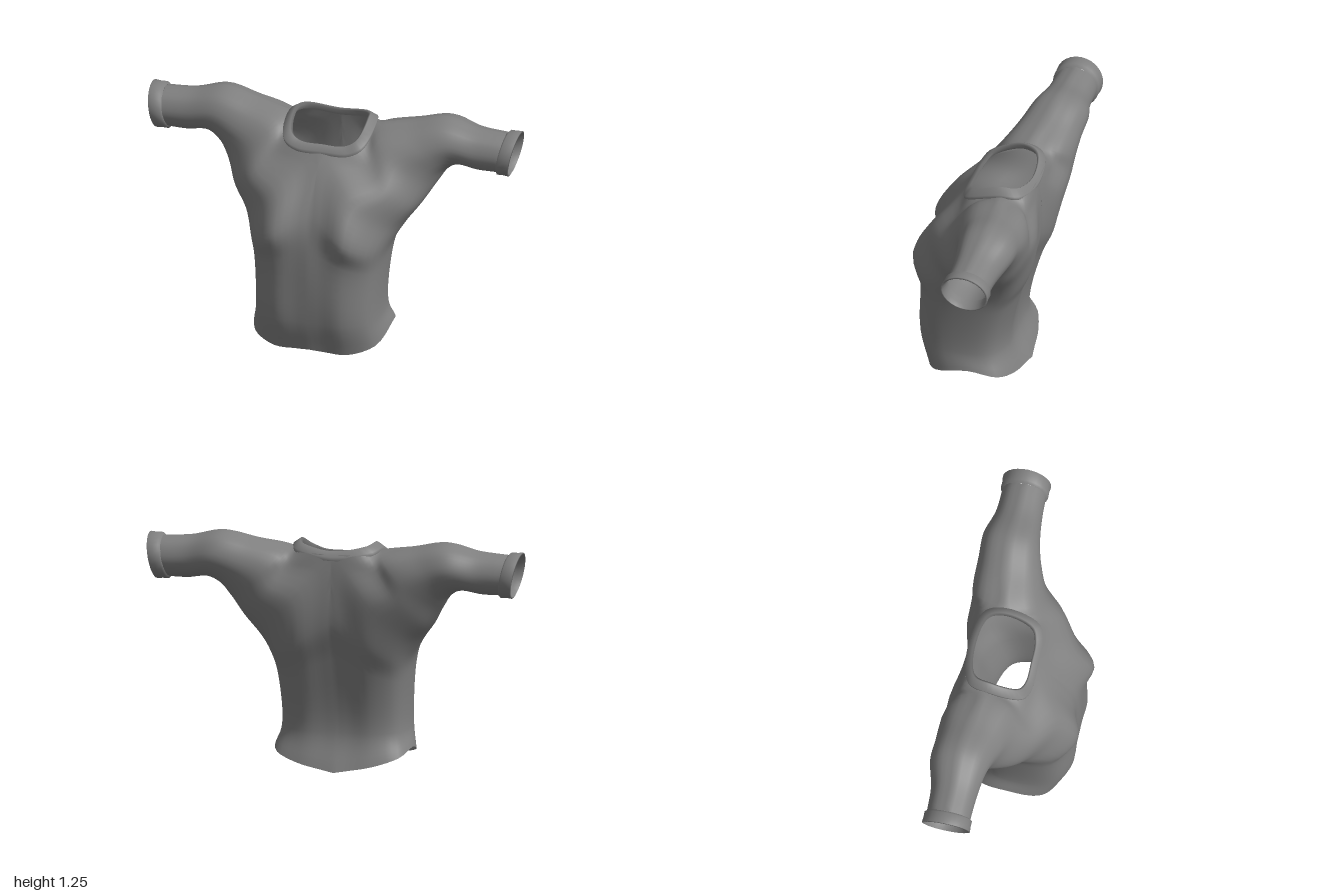
import * as THREE from 'three';
import { mergeVertices } from 'three/addons/utils/BufferGeometryUtils.js';

const V = (x, y, z) => new THREE.Vector3(x, y, z);
const smooth = (points, closed = false) => new THREE.CatmullRomCurve3(points, closed, 'centripetal');
const mirrorRows = rows => rows.map(r => r.map(p => V(-p.x, p.y, p.z)));

// Sheet of quads through a grid of points, optionally closed along each row
function sheet(rows, closed = false, flip = false) {
  const n = rows[0].length, index = [];
  for (let i = 0; i < rows.length - 1; i++) {
    for (let j = 0; j < (closed ? n : n - 1); j++) {
      const k = (j + 1) % n;
      const a = i * n + j, b = a + n, c = i * n + k, d = c + n;
      if (flip) index.push(a, c, b, c, d, b);
      else index.push(a, b, c, c, b, d);
    }
  }
  return { points: rows.flat(), index };
}

// Join sheets into one smooth geometry
function join(sheets) {
  const pos = [], index = [];
  for (const s of sheets) {
    const base = pos.length / 3;
    s.points.forEach(p => pos.push(p.x, p.y, p.z));
    s.index.forEach(i => index.push(i + base));
  }
  let g = new THREE.BufferGeometry();
  g.setAttribute('position', new THREE.Float32BufferAttribute(pos, 3));
  g.setIndex(index);
  g = mergeVertices(g, 1e-4);
  g.computeVertexNormals();
  return g;
}

// Sleeve rib: a rounded loop from the underarm seam to the shoulder line
function sleeveRib(sx, sy, nx, ny, z, r) {
  const s = V(sx, sy, z), n = V(nx, ny, z);
  const half = side => [.15, .5, .85].map((t, i) => {
    const p = s.clone().lerp(n, t);
    p.z += side * r * [.71, 1, .71][i];
    return p;
  });
  return smooth([n, ...half(1).reverse(), s, ...half(-1), n.clone()]);
}

// Torso rib: from the front end round the side seam to the back end,
// with a bulge and a sag on each half
function torsoRib(seam, front, back, [bulgeF, bulgeB], [sagF, sagB] = [0, 0]) {
  const s = V(...seam), f = V(...front), b = V(...back);
  const half = (end, bulge, sag) => [.1, .45, .8].map((t, i) => {
    const p = s.clone().lerp(end, t);
    p.y -= sag * [.9, 1, .4][i];
    p.z = THREE.MathUtils.lerp(s.z, end.z, [.7, 1, 1][i]) + bulge * [.6, 1, .35][i];
    return p;
  });
  return smooth([f, ...half(f, bulgeF, sagF).reverse(), s, ...half(b, bulgeB, sagB), b]);
}

// Ribs fan from the sleeve end, round the underarm, down to the hem
const NECK_SIDE = 4, NECK_FRONT = 6;
function bodyRows() {
  const SEG = 6, COLS = 32;
  const ribs = [
    sleeveRib(.9, .985, .925, 1.2, -.178, .115),
    sleeveRib(.79, .985, .77, 1.213, -.178, .122),
    sleeveRib(.68, 1, .6, 1.25, -.185, .15),
    sleeveRib(.62, .97, .42, 1.215, -.167, .167),
    sleeveRib(.57, .9, .235, 1.18, -.14, .195),
    torsoRib([.5, .79, -.08], [.19, 1.1, .04], [.17, 1.165, -.25], [.11, -.08]),
    torsoRib([.42, .68, -.04], [0, 1.085, .09], [0, 1.145, -.27], [.165, -.055]),
    torsoRib([.365, .58, 0], [0, .81, .265], [0, .81, -.285], [.085, 0]),
    torsoRib([.345, .47, .03], [0, .61, .315], [0, .6, -.225], [0, 0]),
    torsoRib([.335, .2, .04], [0, .2, .315], [0, .2, -.16], [0, 0]),
    torsoRib([.362, .11, 0], [0, .03, .285], [0, 0, -.235], [-.02, .03], [.055, .025]),
  ].map(c => Array.from({ length: COLS + 1 }, (_, j) => c.getPoint(j / COLS)));

  // Smooth curves across the ribs
  const cols = ribs[0].map((_, j) => smooth(ribs.map(r => r[j])));
  const n = (ribs.length - 1) * SEG, rows = [];
  for (let i = 0; i <= n; i++) {
    const row = cols.map(c => c.getPoint(i / n));
    const first = row[0], last = row[COLS];
    // Close the shoulder seam and the centre line
    if (i <= NECK_SIDE * SEG) {
      first.lerp(last, .5);
      last.copy(first);
    }
    if (i >= NECK_FRONT * SEG) first.x = last.x = 0;
    rows.push(row);
  }
  return rows;
}

// Sleeve band with a turned-in lining, slanted outward at the top
function cuffRows() {
  const rings = [[.905, .106], [.915, .119], [.945, .118], [.974, .121], [.977, .112], [.945, .105], [.905, .103]];
  return rings.map(([cx, r]) => Array.from({ length: 28 }, (_, j) => {
    const a = j / 28 * Math.PI * 2, y = Math.cos(a) * r;
    return V(cx + .2 * y, 1.092 + y, -.178 + Math.sin(a) * r * 1.06);
  }));
}

// Neck band: one loop round the opening, repeated with a scale and a rise
function collarRows() {
  const left = [
    V(0, 1.077, .095), V(.14, 1.08, .09), V(.21, 1.11, .055),
    V(.235, 1.175, -.12), V(.2, 1.165, -.23), V(0, 1.138, -.275),
  ];
  const right = mirrorRows([left.slice(1, -1).reverse()])[0];
  const loop = smooth([...left, ...right], true);
  const steps = [[1, -.005], [1.01, .015], [.85, .042], [.8, .032], [.87, 0]];
  return steps.map(([scale, rise]) => Array.from({ length: 56 }, (_, j) => {
    const p = loop.getPoint(j / 56);
    return V(p.x * scale, p.y + rise, -.09 + (p.z + .09) * scale);
  }));
}

export function createModel() {
  const fabric = new THREE.MeshStandardMaterial({ color: 0x808080, side: THREE.DoubleSide });
  fabric.name = 'grey fabric';
  const group = new THREE.Group();
  group.name = 'shirt';
  const add = (name, ...sheets) => {
    const mesh = new THREE.Mesh(join(sheets), fabric);
    mesh.name = name;
    group.add(mesh);
  };

  // Torso and sleeves in one skin
  const body = bodyRows();
  add('body', sheet(body), sheet(mirrorRows(body), false, true));

  // Sleeve bands
  const cuff = cuffRows();
  add('leftCuff', sheet(cuff, true, true));
  add('rightCuff', sheet(mirrorRows(cuff), true));

  // Neck band
  add('collar', sheet(collarRows(), true, true));
  return group;
}
